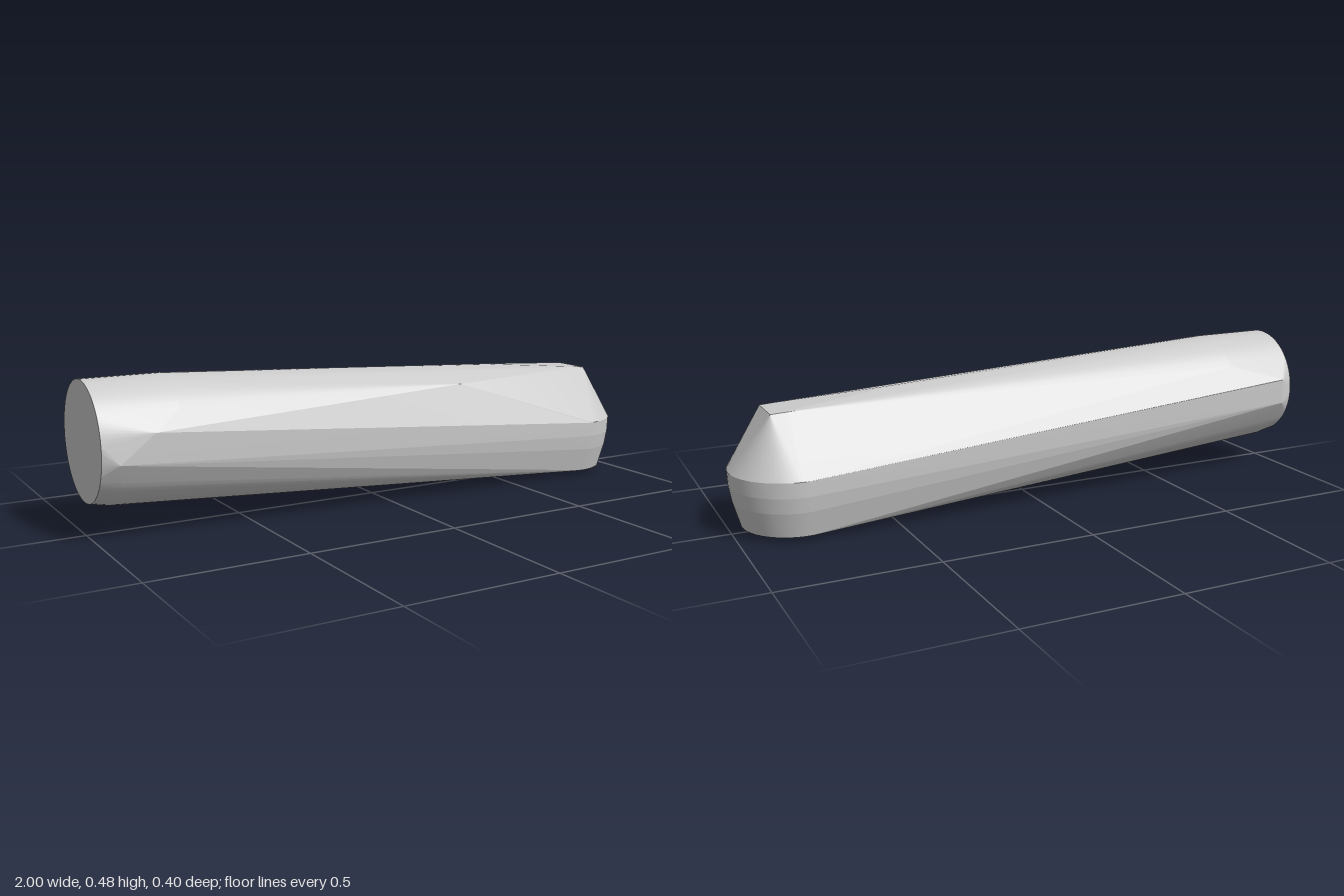
import * as THREE from 'three';
import { ConvexGeometry } from 'three/addons/geometries/ConvexGeometry.js';
import { toCreasedNormals } from 'three/addons/utils/BufferGeometryUtils.js';

const SEGMENTS = 64;

export function createModel() {
  const group = new THREE.Group();
  const points = [];
  const add = (x, y, z) => points.push(new THREE.Vector3(x, y, z));

  // upright arc across the handle
  const crossArc = (x, y, r, from, to) => {
    for (let i = from; i <= to; i++) {
      const a = (i / SEGMENTS) * Math.PI * 2;
      add(x, y + r * Math.sin(a), 0.004 + r * Math.cos(a));
    }
  };
  // level arc around the rounded nose
  const noseArc = (x, y, r, full) => {
    const n = full ? SEGMENTS : SEGMENTS / 2;
    for (let i = 0; i <= n; i++) {
      const a = (i / SEGMENTS) * Math.PI * 2 - Math.PI / 2;
      add(x + r * Math.cos(a), y, r * Math.sin(a));
    }
  };

  // flat round end, straight back and lower rim
  crossArc(-1, 0.29, 0.187, 0, SEGMENTS - 1);
  crossArc(-0.75, 0.29, 0.187, 4, 28);
  crossArc(-0.94, 0.284, 0.193, 34, 62);

  // side shoulders
  add(-0.84, 0.335, 0.202);
  add(-0.95, 0.25, 0.202);
  add(-0.95, 0.335, -0.202);
  add(-0.95, 0.25, -0.202);
  add(0.26, 0.38, 0.15);

  // top ridge and nose crest
  for (const s of [-1, 1]) {
    add(0.5, 0.413, 0.01 * s);
    add(0.82, 0.386, 0.07 * s);
    add(0.875, 0.383, 0.068 * s);
  }

  // nose bands and sole
  noseArc(0.8, 0.2, 0.2, false);
  noseArc(0.8, 0.15, 0.198, false);
  noseArc(0.8, 0.1, 0.19, false);
  noseArc(0.8, 0.017, 0.167, true);
  noseArc(0.8, 0, 0.09, true);

  const body = new THREE.Mesh(
    toCreasedNormals(new ConvexGeometry(points), 0.11),
    new THREE.MeshStandardMaterial({ color: 0xcccccc })
  );
  body.name = 'handleBody';
  group.add(body);
  return group;
}
